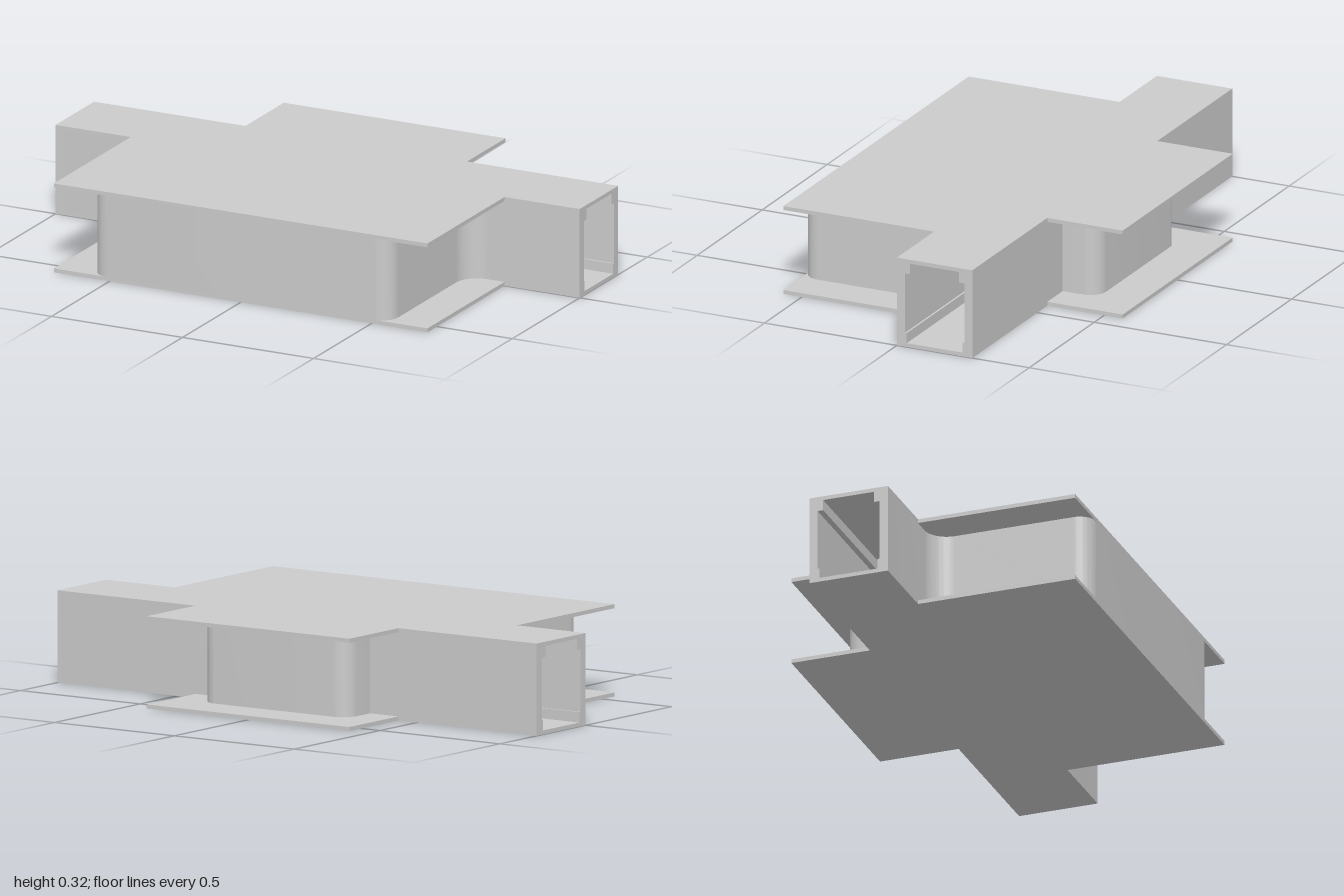
import * as THREE from 'three';
import { toCreasedNormals } from 'three/addons/utils/BufferGeometryUtils.js';

const HEIGHT = 0.317, PLATE = 0.014;
const material = new THREE.MeshStandardMaterial({ color: 0xcccccc });

// Mirrors a right-hand half outline (x >= 0, from front to back) into a full shape
function mirroredShape(half) {
  const left = half.filter(p => p.x > 1e-6).reverse().map(p => new THREE.Vector2(-p.x, p.y));
  return new THREE.Shape([...half, ...left]);
}

// Extrudes a plan outline (x, -z) upward from y
function slab(name, shape, y, height) {
  const geo = new THREE.ExtrudeGeometry(shape, { depth: height, bevelEnabled: false });
  geo.rotateX(-Math.PI / 2);
  const mesh = new THREE.Mesh(toCreasedNormals(geo, 0.5), material);
  mesh.name = name;
  mesh.position.y = y;
  return mesh;
}

export function createModel() {
  const group = new THREE.Group();
  group.name = 'corridorRoom';

  // Floor and roof plates share one stepped outline
  const plate = mirroredShape([
    [0, -0.57], [0.713, -0.57], [0.713, 0], [1, 0],
    [1, 0.285], [0.423, 0.285], [0.423, 0.57], [0, 0.57],
  ].map(([x, y]) => new THREE.Vector2(x, y)));
  group.add(slab('floorPlate', plate, 0, PLATE));
  group.add(slab('roofPlate', plate, HEIGHT - PLATE, PLATE));

  // Room walls with rounded corners, running out into the open side corridors
  const wall = new THREE.Path();
  wall.moveTo(0, -0.57);
  wall.lineTo(0.51, -0.57);
  wall.absarc(0.51, -0.51, 0.06, -Math.PI / 2, 0, false);
  wall.lineTo(0.57, -0.08);
  wall.absarc(0.65, -0.08, 0.08, Math.PI, Math.PI / 2, true);
  wall.lineTo(1, 0);
  wall.lineTo(1, 0.03);
  wall.lineTo(0.42, 0.03);
  wall.lineTo(0.42, 0.255);
  wall.lineTo(1, 0.255);
  wall.lineTo(1, 0.285);
  wall.lineTo(0.305, 0.285);
  wall.lineTo(0.305, 0.36);
  wall.absarc(0.245, 0.36, 0.06, 0, Math.PI / 2, false);
  wall.lineTo(0, 0.42);
  group.add(slab('walls', mirroredShape(wall.getPoints(12)), PLATE, HEIGHT - 2 * PLATE));

  // Ledges along the top and bottom edges inside each corridor
  const ledge = (name, side, z, width, y, height) => {
    const mesh = new THREE.Mesh(new THREE.BoxGeometry(0.58, height, width), material);
    mesh.name = name;
    mesh.position.set(side * 0.71, y + height / 2, z);
    group.add(mesh);
  };
  for (const side of [-1, 1]) {
    for (const edge of [-1, 1]) {
      ledge('ceilingLedge', side, -0.1425 + edge * 0.1025, 0.02, 0.265, 0.038);
      ledge('floorLedge', side, -0.1425 + edge * 0.109, 0.007, PLATE, 0.036);
    }
  }
  return group;
}
